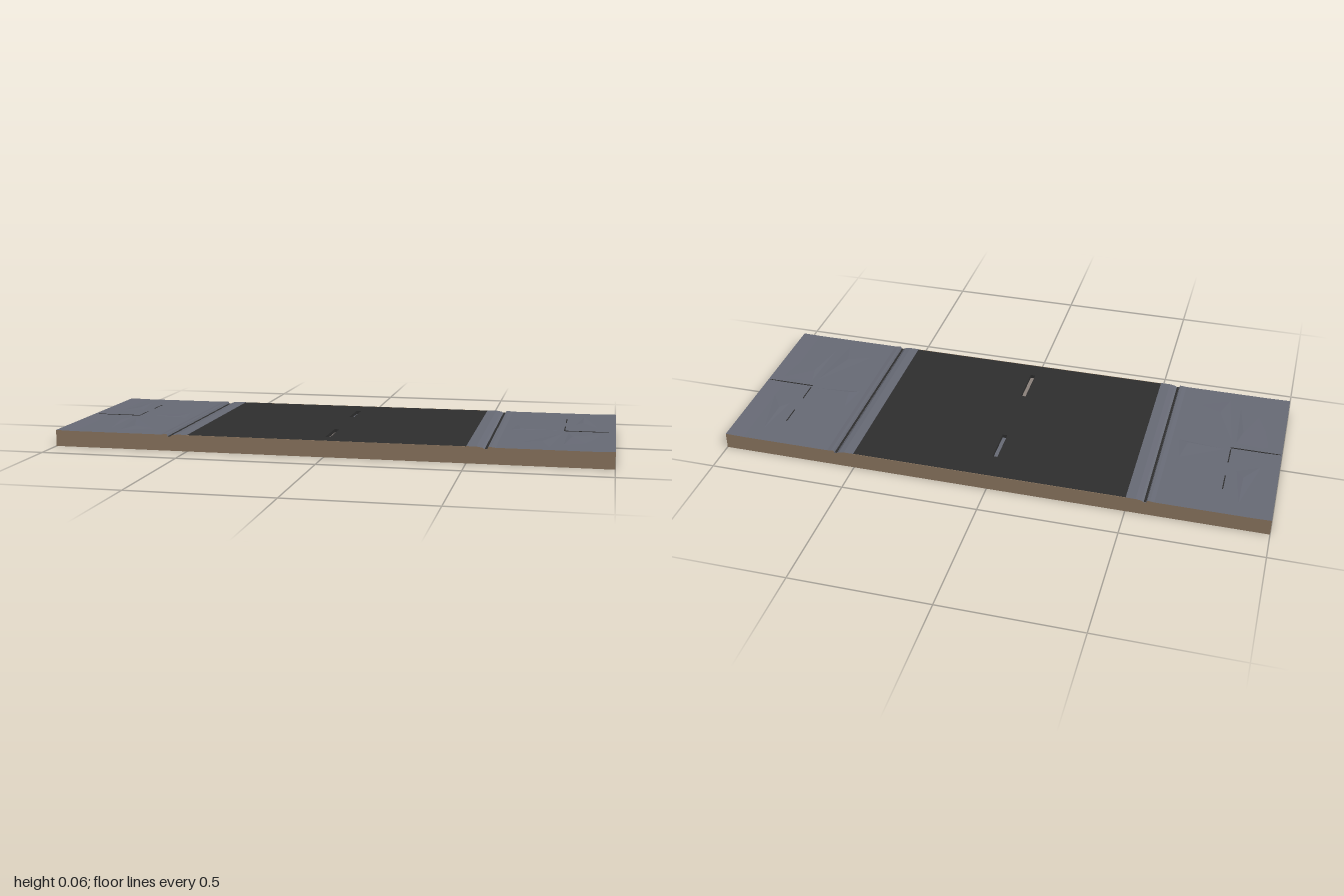
import * as THREE from 'three';

const D = 0.377;      // half depth
const H = 0.06;       // full height
const ROAD = 0.5;     // half width of the road
const SLOT = 0.016;   // depth of the centre-line slots

export function createModel() {
  const model = new THREE.Group();
  model.name = 'roadTile';
  const mat = (name, color, extra = {}) => {
    const m = new THREE.MeshStandardMaterial({ color, ...extra });
    m.name = name;
    return m;
  };
  const stone = mat('pavementGrey', 0x676a75, { flatShading: true });
  const asphalt = mat('asphalt', 0x2e2e2e);
  const earth = mat('earthBrown', 0x8c7660);
  const worn = mat('wornStripe', 0x8a807a);

  const add = (name, geometry, material, x = 0, y = 0, z = 0) => {
    const mesh = new THREE.Mesh(geometry, material);
    mesh.name = name;
    mesh.position.set(x, y, z);
    model.add(mesh);
    return mesh;
  };
  const box = (name, w, h, d, material, x, y, z) =>
    add(name, new THREE.BoxGeometry(w, h, d), material, x, y, z);

  // Road bed: earth shows on the cut front and back
  const bedH = H - SLOT;
  box('roadBed', ROAD * 2, bedH, D * 2,
    [asphalt, asphalt, asphalt, asphalt, earth, earth], 0, bedH / 2, 0);

  // Road surface with slots for the centre dashes
  const dashes = [[-0.26, -0.12, stone], [0.15, 0.305, worn]];
  const rect = (P, x0, x1, y0, y1) => {
    const p = new P();
    p.moveTo(x0, y0);
    p.lineTo(x1, y0);
    p.lineTo(x1, y1);
    p.lineTo(x0, y1);
    p.closePath();
    return p;
  };
  const plan = rect(THREE.Shape, -ROAD, ROAD, -D + 0.002, D - 0.002);
  for (const [z0, z1] of dashes) {
    plan.holes.push(rect(THREE.Path, -0.009, 0.009, -z1, -z0));
  }
  const surface = new THREE.ExtrudeGeometry(plan, { depth: SLOT - 0.001, bevelEnabled: false });
  surface.rotateX(-Math.PI / 2);
  add('roadSurface', surface, asphalt, 0, bedH, 0);
  for (const [z0, z1, m] of dashes) {
    box('centreDash', 0.018, 0.002, z1 - z0, m, 0, bedH + 0.001, (z0 + z1) / 2);
  }
  for (const s of [-1, 1]) {
    box('roadEdgeBand', ROAD * 2, SLOT - 0.001, 0.002, earth,
      0, bedH + (SLOT - 0.001) / 2, s * (D - 0.001));
  }

  // Low faceted mound: corners run around a raised apex
  const mound = (side, corners, apex) => {
    const pts = corners.map(([x, z]) => [x * side, 0.0578, z]);
    const top = [apex[0] * side, H, apex[1]];
    const pos = [];
    pts.forEach((a, i) => {
      const b = pts[(i + 1) % pts.length];
      const turn = (b[2] - a[2]) * (top[0] - a[0]) - (b[0] - a[0]) * (top[2] - a[2]);
      pos.push(...(turn > 0 ? [a, b, top] : [b, a, top]).flat());
    });
    const g = new THREE.BufferGeometry();
    g.setAttribute('position', new THREE.Float32BufferAttribute(pos, 3));
    g.computeVertexNormals();
    add('unevenSlab', g, stone);
  };

  // Kerb, gutter groove and pavement share one cross-section per side
  const section = [
    [0.5, 0], [1, 0], [1, 0.0595], [0.93, 0.058], [0.6, 0.058], [0.585, 0.06],
    [0.575, 0.06], [0.572, 0.052], [0.563, 0.052], [0.555, 0.057], [0.535, 0.06], [0.5, 0.06],
  ];
  for (const s of [-1, 1]) {
    const shape = new THREE.Shape(section.map(([x, y]) => new THREE.Vector2(x * s, y)));
    const g = new THREE.ExtrudeGeometry(shape, { depth: D * 2, bevelEnabled: false });
    add('pavement', g, [earth, stone], 0, 0, -D);
    box('gutterLine', 0.008, 0.001, D * 2 - 0.004, asphalt, s * 0.5675, 0.0523, 0);

    // Worn slabs
    mound(s, [[0.82, 0.04], [0.66, 0.27], [0.78, 0.33]], [0.75, 0.23]);
    mound(s, [[0.99, 0.02], [0.83, 0.04], [0.82, 0.3], [0.9, 0.25]], [0.85, 0.12]);
    mound(s, [[0.94, -0.07], [0.85, -0.12], [0.88, -0.32]], [0.88, -0.16]);
    mound(s, [[0.81, 0], [0.62, 0.02], [0.64, -0.1]], [0.66, 0.005]);

    // Cracks between the slabs
    box('crossCrack', 0.18, 0.0015, 0.004, asphalt, s * 0.905, 0.0588, 0.012);
    box('longCrack', 0.004, 0.0015, 0.08, asphalt, s * 0.817, 0.058, -0.2);
    box('longCrack', 0.004, 0.0015, 0.08, asphalt, s * 0.817, 0.058, -0.04);
  }
  return model;
}
